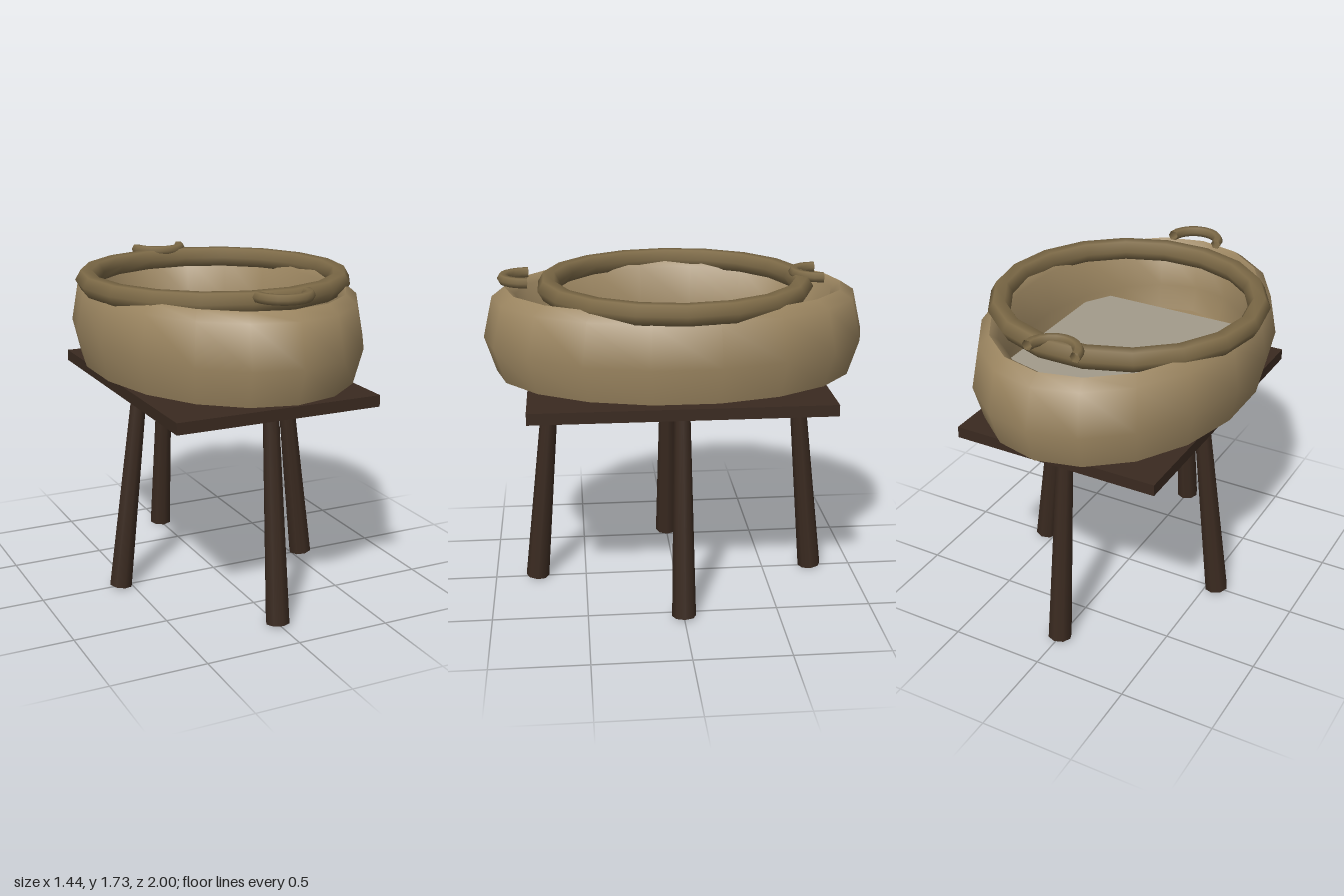
import * as THREE from 'three';
import { toCreasedNormals } from 'three/addons/utils/BufferGeometryUtils.js';

const wood = new THREE.MeshStandardMaterial({ color: 0x3a2a20 });
const clay = new THREE.MeshStandardMaterial({ color: 0x9b8560 });
const trim = new THREE.MeshStandardMaterial({ color: 0x7d6a47, side: THREE.DoubleSide });
const water = new THREE.MeshStandardMaterial({ color: 0xa39b8b, side: THREE.DoubleSide });

export function createModel() {
  const model = new THREE.Group();
  model.name = 'basinOnStand';

  const add = (name, geometry, material, x = 0, y = 0, z = 0) => {
    const mesh = new THREE.Mesh(geometry, material);
    mesh.name = name;
    mesh.position.set(x, y, z);
    model.add(mesh);
    return mesh;
  };

  // Stand: flat board on four splayed, tapering legs
  add('standTop', new THREE.BoxGeometry(1.11, 0.06, 1.56), wood, 0, 1.12, 0);

  const up = new THREE.Vector3(0, 1, 0);
  const addLeg = (name, top, foot) => {
    const axis = top.clone().sub(foot);
    const middle = top.clone().add(foot).multiplyScalar(0.5);
    const leg = add(name, new THREE.CylinderGeometry(0.042, 0.063, axis.length(), 8), wood, middle.x, middle.y, middle.z);
    leg.quaternion.setFromUnitVectors(up, axis.normalize());
  };
  for (const [s, side, end] of [[1, 'left', 'front'], [-1, 'right', 'back']]) {
    addLeg(side + 'Leg', new THREE.Vector3(s * 0.427, 1.1, 0), new THREE.Vector3(s * 0.557, 0.01, 0));
    addLeg(end + 'Leg', new THREE.Vector3(0, 1.1, s * 0.663), new THREE.Vector3(0, 0.01, s * 0.77));
  }

  // Basin: walled oval bowl with a slightly conical underside
  const profile = [
    [0, 1.17], [0.94, 1.21], [1, 1.395], [0.95, 1.61], [0.88, 1.655],
    [0.83, 1.62], [0.8, 1.4], [0.76, 1.27], [0, 1.25],
  ].map(([r, y]) => new THREE.Vector2(r, y));
  const bowl = new THREE.LatheGeometry(profile, 18);
  bowl.scale(0.71, 1, 1);
  add('basin', toCreasedNormals(bowl, 1.0), clay);

  // Flat sheet inside the basin
  add('waterSurface', new THREE.PlaneGeometry(0.98, 1.06).rotateX(-Math.PI / 2), water, 0, 1.37, 0);

  // Round rim ring lying on the basin
  add('rimRing', new THREE.TorusGeometry(0.663, 0.058, 6, 18).rotateX(Math.PI / 2), trim, 0, 1.658, 0);

  // Half-loop handles, both curving forward
  for (const [name, z] of [['frontHandle', 0.76], ['backHandle', -0.76]]) {
    add(name, new THREE.TorusGeometry(0.13, 0.028, 6, 10, Math.PI).rotateX(Math.PI / 2), trim, 0, 1.705, z);
  }

  return model;
}
